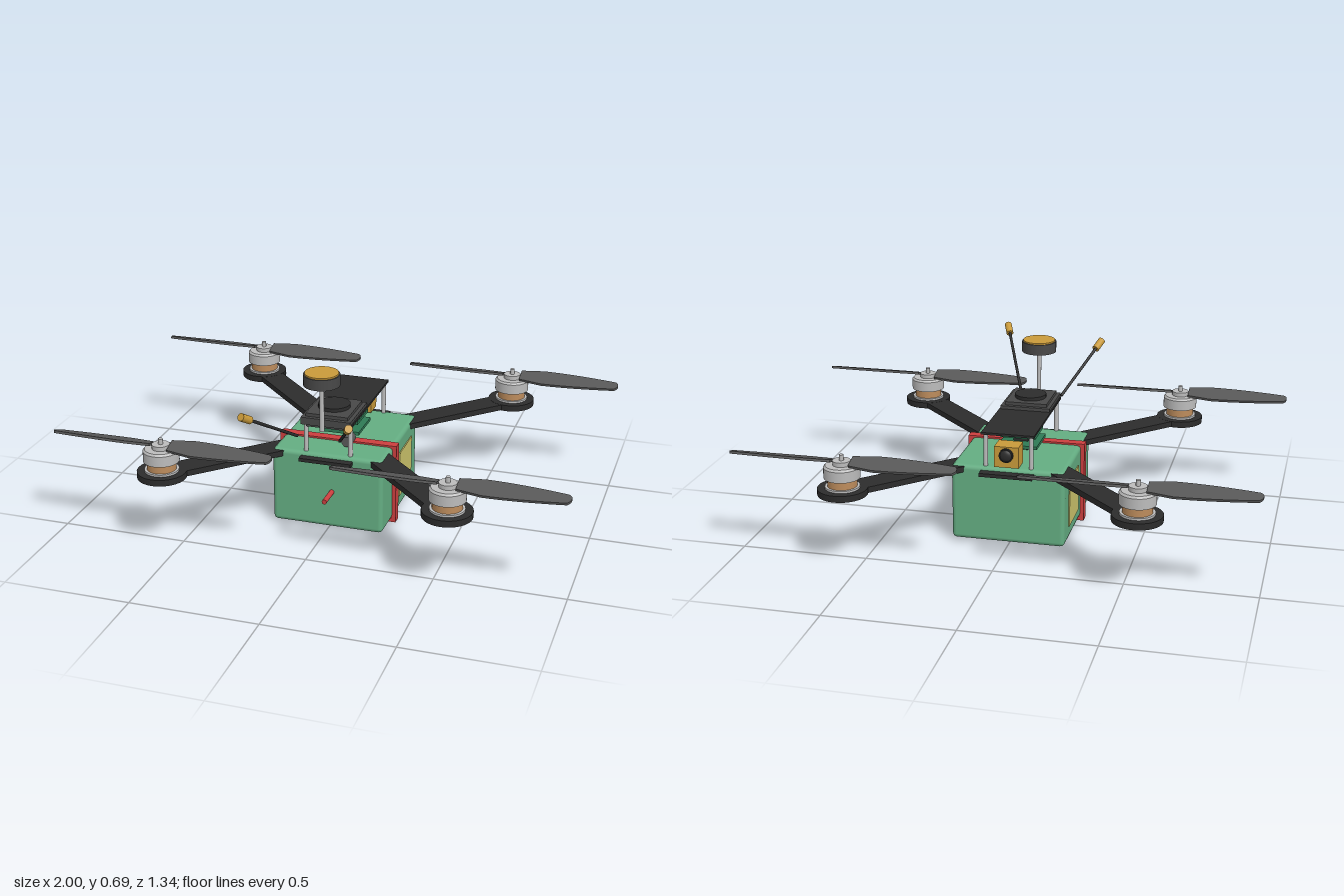
import * as THREE from 'three';
import { RoundedBoxGeometry } from 'three/addons/geometries/RoundedBoxGeometry.js';

function mat(name, color) {
  const m = new THREE.MeshStandardMaterial({ color });
  m.name = name;
  return m;
}

export function createModel() {
  const green = mat('batteryGreen', 0x64ad82);
  const red = mat('strapRed', 0xcc3f3f);
  const yellow = mat('labelYellow', 0xcdc46b);
  const carbon = mat('carbonBlack', 0x2c2c2c);
  const bladeGrey = mat('propellerGrey', 0x585858);
  const housing = mat('housingGrey', 0x484848);
  const metal = mat('aluminium', 0xbcbcbc);
  const copper = mat('copper', 0xbd8c5c);
  const gold = mat('gold', 0xc99a3a);
  const pcb = mat('circuitGreen', 0x2f7a55);

  const model = new THREE.Group();
  model.name = 'quadcopter';

  const add = (parent, name, geo, material, x = 0, y = 0, z = 0) => {
    const m = new THREE.Mesh(geo, material);
    m.name = name;
    m.position.set(x, y, z);
    parent.add(m);
    return m;
  };
  // Box given by its limits on each axis
  const box = (name, material, x0, x1, y0, y1, z0, z1) =>
    add(model, name, new THREE.BoxGeometry(x1 - x0, y1 - y0, z1 - z0), material,
      (x0 + x1) / 2, (y0 + y1) / 2, (z0 + z1) / 2);
  // Upright cylinder between two heights
  const post = (parent, name, material, r, y0, y1, x = 0, z = 0, n = 32) =>
    add(parent, name, new THREE.CylinderGeometry(r, r, y1 - y0, n), material, x, (y0 + y1) / 2, z);
  // Cylinder between two points
  const rod = (name, material, r, a, b) => {
    const d = b.clone().sub(a);
    const m = add(model, name, new THREE.CylinderGeometry(r, r, d.length(), 16), material);
    m.position.copy(a).addScaledVector(d, 0.5);
    m.quaternion.setFromUnitVectors(new THREE.Vector3(0, 1, 0), d.normalize());
    return m;
  };
  const v = (x, y, z) => new THREE.Vector3(x, y, z);

  // Battery with labels, strap and lead
  add(model, 'battery', new RoundedBoxGeometry(0.45, 0.31, 0.498, 2, 0.018), green, 0, 0.168, -0.011);
  for (const s of [-1, 1]) {
    add(model, 'batteryLabel', new THREE.BoxGeometry(0.006, 0.19, 0.175), yellow, s * 0.2265, 0.165, -0.0875);
  }
  box('strapTop', red, -0.24, 0.24, 0.318, 0.33, 0.057, 0.097);
  box('strapBottom', red, -0.24, 0.24, 0, 0.015, 0.057, 0.097);
  box('strapLeft', red, 0.222, 0.24, 0, 0.33, 0.057, 0.097);
  box('strapRight', red, -0.24, -0.222, 0, 0.33, 0.057, 0.097);
  rod('batteryLead', red, 0.01, v(0.02, 0.167, 0.23), v(0.02, 0.167, 0.332));

  // Frame plates and standoffs
  box('bottomPlate', carbon, -0.105, 0.105, 0.294, 0.308, -0.295, 0.268);
  box('topPlate', carbon, -0.105, 0.105, 0.453, 0.462, -0.257, 0.235);
  for (const x of [-0.09, 0.09]) {
    for (const z of [-0.239, 0.217]) post(model, 'standoff', metal, 0.009, 0.305, 0.454, x, z, 12);
  }

  // Propeller blade: tapered outline, pitched about its length
  const outline = new THREE.Shape();
  outline.moveTo(0.035, -0.03);
  outline.lineTo(0.13, -0.046);
  outline.quadraticCurveTo(0.26, -0.046, 0.43, -0.026);
  outline.quadraticCurveTo(0.444, -0.015, 0.444, 0);
  outline.quadraticCurveTo(0.444, 0.014, 0.43, 0.02);
  outline.quadraticCurveTo(0.26, 0.042, 0.13, 0.042);
  outline.lineTo(0.035, 0.03);
  const bladeGeo = new THREE.ExtrudeGeometry(outline, { depth: 0.01, bevelEnabled: false, curveSegments: 8 });
  bladeGeo.translate(0, 0, -0.005).rotateX(-Math.PI / 2 + 0.28);

  // Arms, motors and propellers
  const midZ = -0.0135;
  for (const sx of [-1, 1]) {
    for (const sz of [-1, 1]) {
      const x = sx * 0.556, z = midZ + sz * 0.558;
      const length = Math.hypot(x, z - midZ);
      const arm = add(model, 'arm', new THREE.BoxGeometry(0.1, 0.023, length), carbon, x / 2, 0.305, (z + midZ) / 2);
      arm.rotation.y = Math.atan2(x, z - midZ);

      const motor = new THREE.Group();
      motor.name = 'motor';
      motor.position.set(x, 0, z);
      model.add(motor);
      post(motor, 'motorMount', carbon, 0.095, 0.292, 0.317);
      post(motor, 'motorBase', metal, 0.066, 0.317, 0.325);
      post(motor, 'motorWinding', copper, 0.056, 0.325, 0.358);
      const bell = [[0, 0.358], [0.069, 0.358], [0.069, 0.358], [0.069, 0.4], [0.069, 0.4], [0.062, 0.408], [0.062, 0.408], [0, 0.408]];
      add(motor, 'motorBell', new THREE.LatheGeometry(bell.map((p) => new THREE.Vector2(...p)), 32), metal);
      post(motor, 'propellerHub', metal, 0.034, 0.405, 0.425);
      post(motor, 'motorShaft', metal, 0.009, 0.42, 0.447, 0, 0, 12);
      for (const turn of [0, Math.PI]) {
        add(motor, 'propellerBlade', bladeGeo, bladeGrey, 0, 0.42, 0).rotation.y = turn;
      }
    }
  }

  // Electronics stack
  box('stackMount', carbon, -0.03, 0.03, 0.318, 0.346, -0.038, 0.014);
  box('lowerBoard', pcb, -0.078, 0.078, 0.345, 0.358, -0.092, 0.07);
  box('upperBoard', pcb, -0.07, 0.07, 0.385, 0.398, -0.084, 0.06);
  box('boardChip', carbon, -0.03, 0.03, 0.358, 0.386, -0.035, 0.012);
  rod('capacitor', bladeGrey, 0.021, v(0.055, 0.35, 0.1), v(0.055, 0.35, 0.157));

  // Camera facing the back
  box('cameraBody', gold, -0.048, 0.048, 0.332, 0.416, -0.274, -0.197);
  rod('cameraBarrel', carbon, 0.028, v(0, 0.383, -0.27), v(0, 0.383, -0.284));
  const lens = add(model, 'cameraLens', new THREE.SphereGeometry(0.024, 20, 10), carbon, 0, 0.383, -0.282);
  lens.scale.z = 0.5;

  // Transmitter box on the top plate
  box('transmitterFoot', housing, -0.085, 0.085, 0.432, 0.447, 0.05, 0.235);
  box('transmitterBody', housing, -0.1, 0.1, 0.446, 0.475, 0.034, 0.253);
  box('transmitterLid', housing, -0.085, 0.085, 0.475, 0.488, 0.05, 0.237);
  post(model, 'transmitterFan', carbon, 0.063, 0.486, 0.502, 0, 0.139);

  // Positioning receiver on a mast
  post(model, 'mast', metal, 0.009, 0.445, 0.64, 0, 0.292, 16);
  post(model, 'receiver', housing, 0.07, 0.636, 0.679, 0, 0.292);
  post(model, 'receiverCap', gold, 0.065, 0.678, 0.685, 0, 0.292);

  // Antennas
  const ends = [[v(-0.085, 0.434, 0.336), v(-0.203, 0.605, 0.61)], [v(0.085, 0.434, 0.336), v(0.222, 0.635, 0.662)]];
  for (const [a, b] of ends) {
    const tipStart = b.clone().add(a.clone().sub(b).setLength(0.055));
    rod('antennaStem', carbon, 0.006, a, tipStart);
    rod('antennaTip', gold, 0.015, tipStart, b);
  }

  return model;
}
